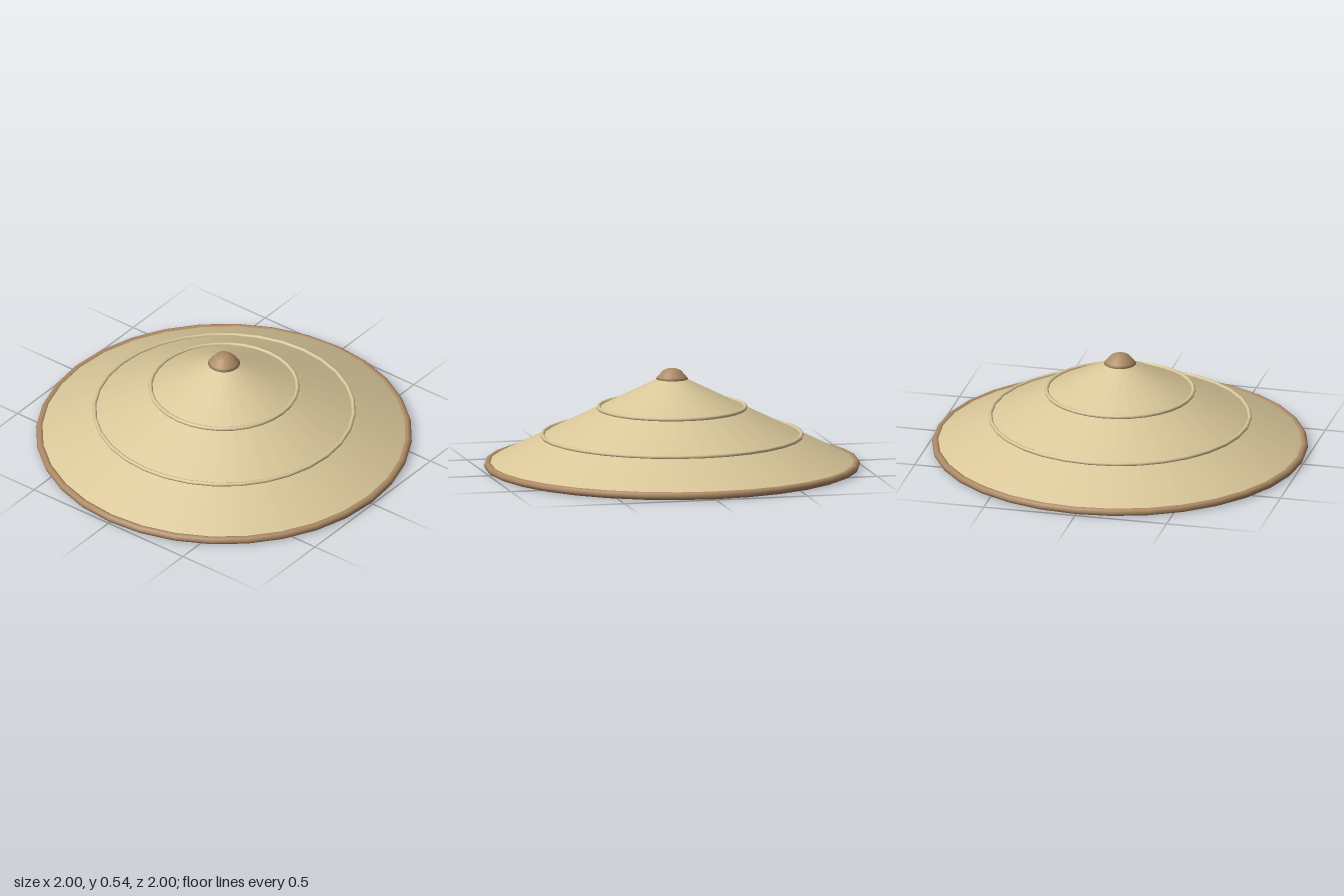
import * as THREE from 'three';

const SIDES = 32;

export function createModel() {
  const straw = new THREE.MeshStandardMaterial({ color: 0xd9c799 });
  straw.name = 'straw';
  const trim = new THREE.MeshStandardMaterial({ color: 0xae8b66 });
  trim.name = 'brown trim';

  const hat = new THREE.Group();
  hat.name = 'conicalHat';

  const add = (name, geometry, material) => {
    const mesh = new THREE.Mesh(geometry, material);
    mesh.name = name;
    hat.add(mesh);
    return mesh;
  };
  const lathe = (name, points, material) =>
    add(name, new THREE.LatheGeometry(points.map(([r, y]) => new THREE.Vector2(r, y)), SIDES), material);
  const ring = (name, radius, tube, y, material) => {
    const geometry = new THREE.TorusGeometry(radius, tube, 8, SIDES).rotateX(Math.PI / 2);
    add(name, geometry, material).position.y = y;
  };

  // Woven cone: outer shell and inner lining
  lathe('outerCone', [[0.98, 0.03], [0, 0.52]], straw);
  lathe('innerLining', [[0, 0.49], [0.97, 0.022]], straw);

  // Raised ridges around the cone
  ring('upperRidge', 0.391, 0.011, 0.33, straw);
  ring('lowerRidge', 0.69, 0.011, 0.18, straw);

  // Bound edge and the headband inside
  ring('rim', 0.979, 0.021, 0.021, trim);
  ring('headband', 0.407, 0.027, 0.12, trim);

  // Cap on the peak
  lathe('peakCap', [[0.07, 0.481], [0.085, 0.482], [0.075, 0.497], [0.048, 0.526], [0.025, 0.536], [0, 0.54]], trim);

  return hat;
}
